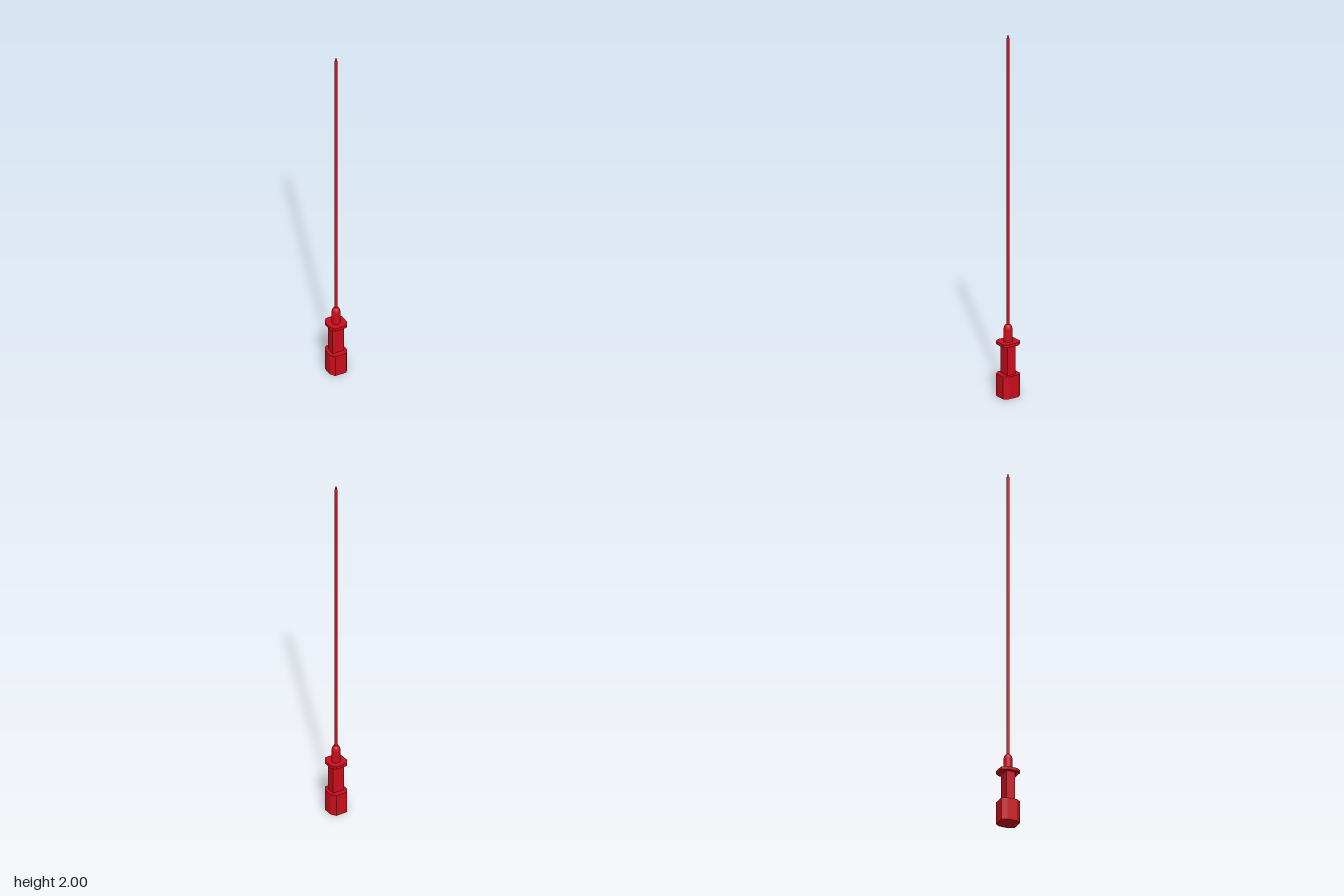
import * as THREE from 'three';

export function createModel() {
  const group = new THREE.Group();
  const material = new THREE.MeshStandardMaterial({ color: 0xcc0e1c });

  const add = (name, geometry, y = 0) => {
    const mesh = new THREE.Mesh(geometry, material);
    mesh.name = name;
    mesh.position.y = y;
    group.add(mesh);
  };

  // Upright prism with chamfered corners, standing on its local y = 0
  const chamferedPrism = (halfX, halfZ, flatX, flatZ, height) => {
    const shape = new THREE.Shape([
      [flatX, -halfZ], [halfX, -flatZ], [halfX, flatZ], [flatX, halfZ],
      [-flatX, halfZ], [-halfX, flatZ], [-halfX, -flatZ], [-flatX, -halfZ],
    ].map(([x, z]) => new THREE.Vector2(x, z)));
    return new THREE.ExtrudeGeometry(shape, { depth: height, bevelEnabled: false }).rotateX(-Math.PI / 2);
  };

  // Grip: wide base, narrower handle block and thin guard plate
  add('base', chamferedPrism(0.051, 0.054, 0.033, 0.028, 0.123));
  add('handle', new THREE.BoxGeometry(0.066, 0.168, 0.048), 0.204);
  add('guard', chamferedPrism(0.051, 0.054, 0.033, 0.028, 0.016), 0.286);

  // Round collar with a domed top
  const collar = [[0, 0.3], [0.023, 0.3], [0.023, 0.3], [0.023, 0.368],
    [0.0215, 0.379], [0.018, 0.387], [0.013, 0.393], [0.007, 0.396], [0, 0.396]];
  add('collar', new THREE.LatheGeometry(collar.map(([r, y]) => new THREE.Vector2(r, y)), 32));

  // Long thin rod with a pointed tip
  const rodRadius = 0.008, tipStart = 1.975;
  add('rod', new THREE.CylinderGeometry(rodRadius, rodRadius, tipStart - 0.38, 24, 1, true), (tipStart + 0.38) / 2);
  add('tip', new THREE.CylinderGeometry(0.002, rodRadius, 2 - tipStart, 24), (2 + tipStart) / 2);

  return group;
}
